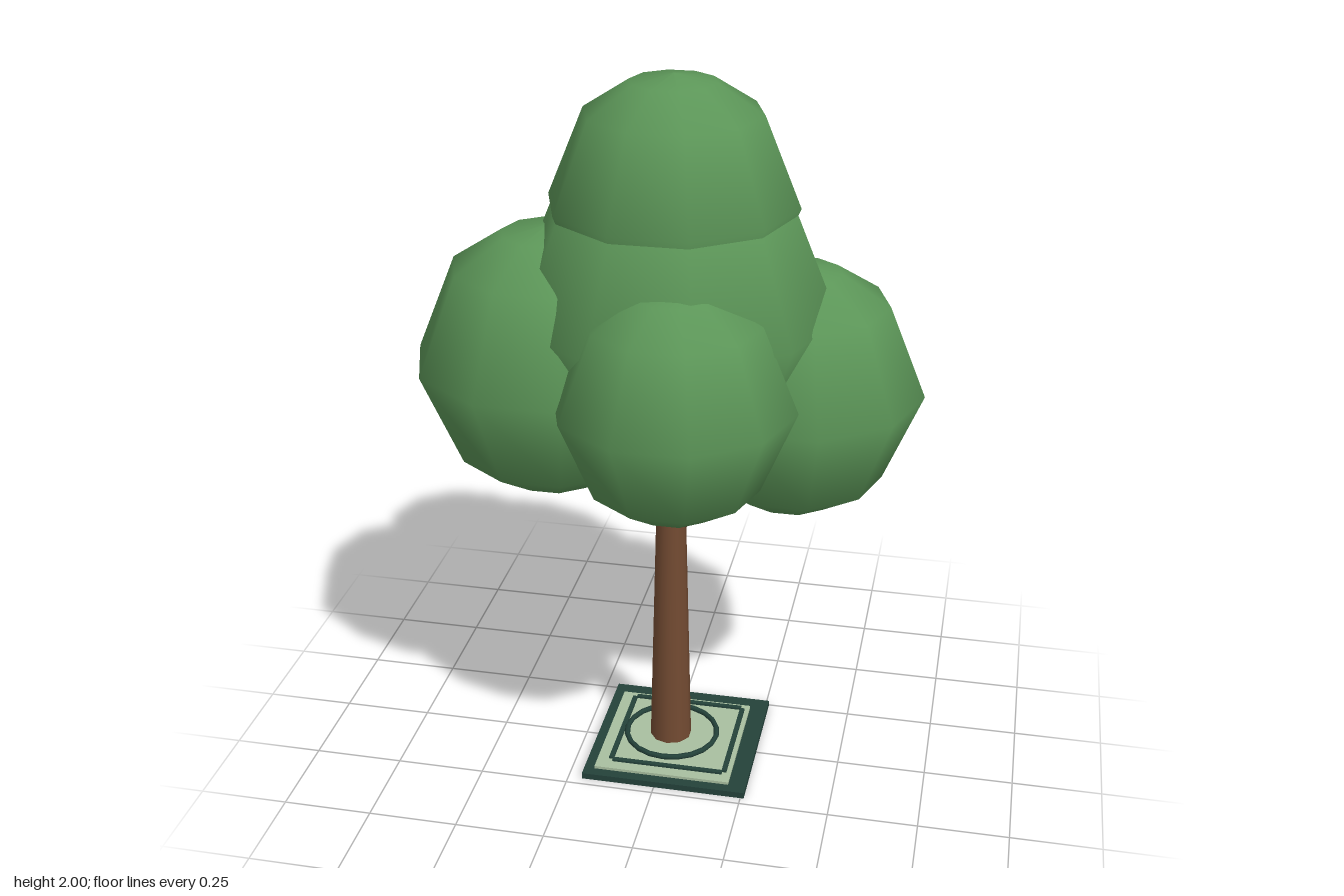
import * as THREE from 'three';

const mat = (color, extra = {}) => new THREE.MeshStandardMaterial({ color, ...extra });
const leaf = mat(0x5c9658);
const bark = mat(0x734b32);
const dark = mat(0x24423a);
const pale = mat(0xa9bfa0, { side: THREE.DoubleSide });

export function createModel() {
  const tree = new THREE.Group();
  tree.name = 'tree';

  const add = (parent, name, geometry, material, x = 0, y = 0, z = 0) => {
    const mesh = new THREE.Mesh(geometry, material);
    mesh.name = name;
    mesh.position.set(x, y, z);
    parent.add(mesh);
    return mesh;
  };

  // Ten-sided leaf ball with coarse rings of latitude
  const profile = [180, 160, 135, 90, 45, 20, 0].map((deg) => {
    const a = THREE.MathUtils.degToRad(deg);
    return new THREE.Vector2(Math.max(0, Math.sin(a)), Math.cos(a));
  });
  const ball = new THREE.LatheGeometry(profile, 10, Math.PI / 2);

  const foliage = new THREE.Group();
  foliage.name = 'foliage';
  tree.add(foliage);
  for (const [name, r, x, y, z] of [
    ['crownTop', 0.33, 0.01, 1.67, 0],
    ['crownMiddle', 0.435, 0.01, 1.38, 0],
    ['crownRight', 0.371, -0.31, 1.23, 0.04],
    ['crownLeft', 0.35, 0.325, 1.14, -0.09],
    ['crownFront', 0.315, 0.07, 1.23, 0.28],
    ['crownBack', 0.33, -0.03, 1.2, -0.275],
  ]) {
    add(foliage, name, ball, leaf, x, y, z).scale.setScalar(r);
  }

  // Tapered trunk and two branches reaching into the crown
  add(tree, 'trunk', new THREE.CylinderGeometry(0.034, 0.06, 1.05, 10), bark, 0.005, 0.545, 0);
  const branch = (name, from, to, r) => {
    const a = new THREE.Vector3(...from);
    const b = new THREE.Vector3(...to);
    const mid = a.clone().lerp(b, 0.5);
    const mesh = add(tree, name, new THREE.CylinderGeometry(r * 0.75, r, a.distanceTo(b), 6), bark, mid.x, mid.y, mid.z);
    mesh.quaternion.setFromUnitVectors(new THREE.Vector3(0, 1, 0), b.sub(a).normalize());
  };
  branch('branchLeft', [0.02, 0.72, -0.01], [0.22, 0.99, -0.02], 0.022);
  branch('branchRight', [-0.005, 0.8, 0], [-0.16, 1.02, 0.02], 0.02);

  // Square tree grate: dark plate, pale panel, raised strips and a ring
  const grate = new THREE.Group();
  grate.name = 'grate';
  grate.position.set(0.025, 0, -0.01);
  tree.add(grate);
  add(grate, 'grateBase', new THREE.BoxGeometry(0.47, 0.018, 0.47), dark, 0, 0.009, 0);
  add(grate, 'gratePanel', new THREE.BoxGeometry(0.39, 0.008, 0.39), pale, -0.01, 0.022, 0.01);
  for (let i = 0; i < 4; i++) {
    const strip = new THREE.Group();
    strip.name = 'grateStrip';
    strip.rotation.y = (i * Math.PI) / 2;
    grate.add(strip);
    add(strip, 'strip', new THREE.BoxGeometry(0.32, 0.008, 0.014), dark, 0, 0.028, 0.165);
  }
  const ring = add(tree, 'grateRing', new THREE.TorusGeometry(0.132, 0.008, 6, 20), dark, 0.008, 0.042, 0);
  ring.rotation.x = Math.PI / 2;
  add(tree, 'grateCentre', new THREE.CylinderGeometry(0.125, 0.125, 0.01, 20), pale, 0.008, 0.033, 0);

  return tree;
}
